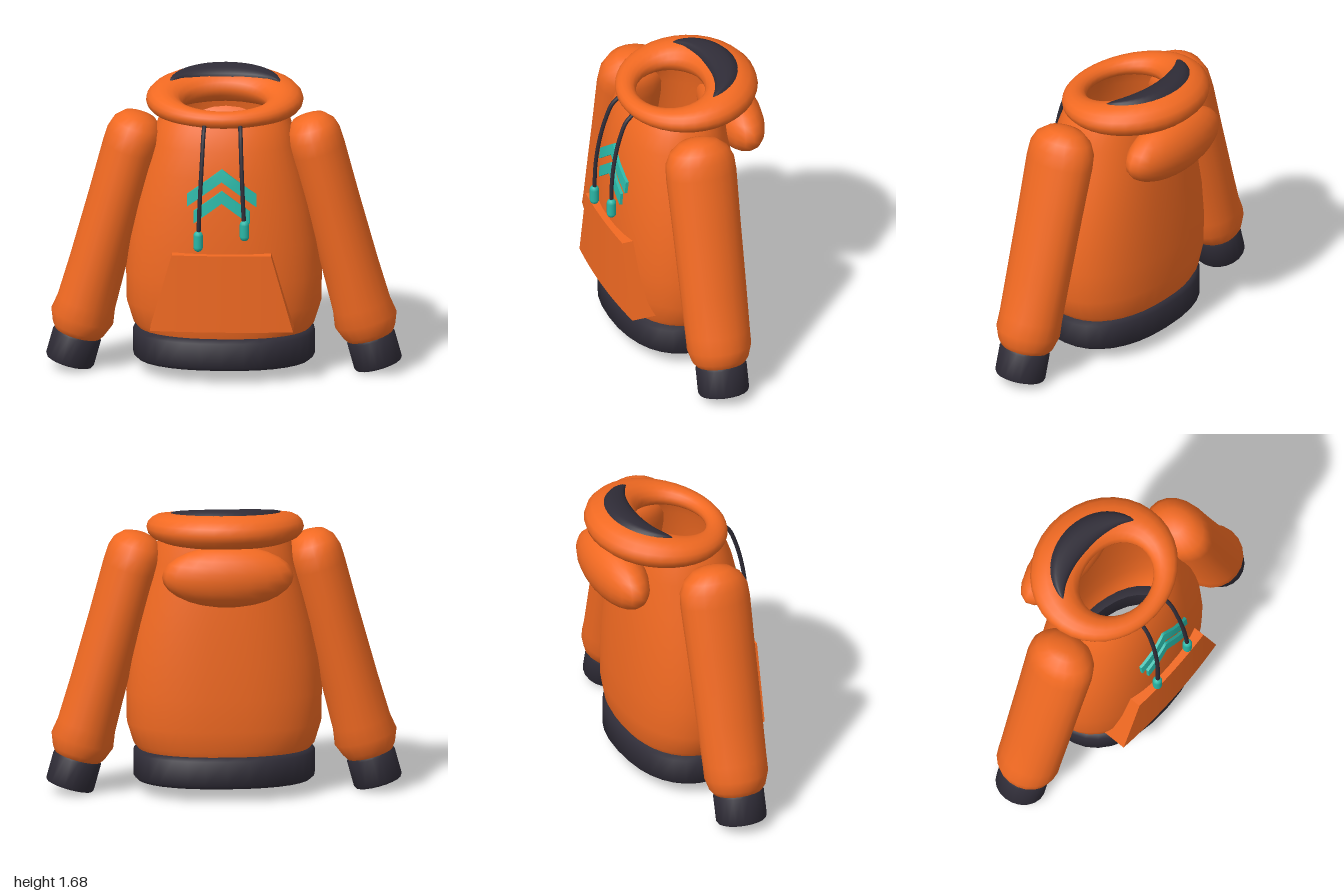
import * as THREE from 'three';
import { mergeVertices, toCreasedNormals } from 'three/addons/utils/BufferGeometryUtils.js';

const fabric = new THREE.MeshStandardMaterial({ color: 0xf26a22, side: THREE.DoubleSide });
const ribbing = new THREE.MeshStandardMaterial({ color: 0x2f2c37, side: THREE.DoubleSide });
const accent = new THREE.MeshStandardMaterial({ color: 0x2ab8a8 });

function mesh(name, geometry, material) {
  const m = new THREE.Mesh(geometry, material);
  m.name = name;
  return m;
}

// Grid surface from a function of integer steps (i across, j along) returning [x, y, z].
function surface(nu, nv, fn, crease) {
  const pos = [], index = [];
  for (let j = 0; j <= nv; j++) for (let i = 0; i <= nu; i++) pos.push(...fn(i, j));
  for (let j = 0; j < nv; j++) {
    for (let i = 0; i < nu; i++) {
      const a = j * (nu + 1) + i, b = a + 1, c = a + nu + 1, d = c + 1;
      index.push(a, b, d, a, d, c);
    }
  }
  let g = new THREE.BufferGeometry();
  g.setAttribute('position', new THREE.Float32BufferAttribute(pos, 3));
  g.setIndex(index);
  g = mergeVertices(g, 1e-5);
  g.computeVertexNormals();
  return crease ? toCreasedNormals(g, crease) : g;
}

// Stack of superelliptic rings, each [y, radiusX, radiusZ, centreZ].
function loft(rings, sides, power = 2, crease = 0) {
  const e = 2 / power, bend = (t) => Math.sign(t) * Math.abs(t) ** e;
  return surface(sides, rings.length - 1, (i, j) => {
    const a = (i / sides) * Math.PI * 2, [y, rx, rz, cz = 0] = rings[j];
    return [rx * bend(Math.sin(a)), y, cz + rz * bend(Math.cos(a))];
  }, crease);
}

const POWER = 2.3;
const torsoRings = [
  [0.24, 0.46, 0.31, 0.055], [0.3, 0.51, 0.333, 0.05], [0.42, 0.547, 0.352, 0.052],
  [0.6, 0.55, 0.356, 0.055], [0.8, 0.533, 0.353, 0.057], [1.0, 0.495, 0.342, 0.057],
  [1.2, 0.445, 0.325, 0.055], [1.35, 0.4, 0.3, 0.05], [1.45, 0.375, 0.275, 0.04],
  [1.52, 0.33, 0.25, 0.03],
];

// Depth of the torso's front at (x, y).
function torsoFront(x, y) {
  let k = 0;
  while (k < torsoRings.length - 2 && torsoRings[k + 1][0] < y) k++;
  const p = torsoRings[k], q = torsoRings[k + 1];
  const t = (y - p[0]) / (q[0] - p[0]);
  const [rx, rz, cz] = [1, 2, 3].map((n) => p[n] + (q[n] - p[n]) * t);
  return cz + rz * Math.max(0, 1 - Math.abs(x / rx) ** POWER) ** (1 / POWER);
}

// Moves each vertex of a box by a rule.
function shapedBox(w, h, d, nx, ny, rule) {
  const g = new THREE.BoxGeometry(w, h, d, nx, ny, 1), p = g.attributes.position;
  for (let i = 0; i < p.count; i++) p.setXYZ(i, ...rule(p.getX(i), p.getY(i), p.getZ(i)));
  g.computeVertexNormals();
  return g;
}

// Point on the rolled hood: a goes round the neck from the front, b round the roll.
function hoodPoint(a, b, lift = 0) {
  const k = (1 - Math.cos(a)) / 2;
  const reach = (0.055 + 0.1 * k + lift) * Math.cos(b);
  return [
    Math.sin(a) * (0.335 + reach),
    1.522 + 0.058 * k + (0.048 + 0.054 * k + lift) * Math.sin(b),
    -0.01 + Math.cos(a) * (0.29 + reach),
  ];
}

function makeSleeve(side) {
  const g = new THREE.Group();
  g.name = side > 0 ? 'leftSleeve' : 'rightSleeve';
  g.add(mesh('arm', loft([
    [0.12, 0, 0], [0.14, 0.1, 0.1], [0.17, 0.132, 0.138], [0.2, 0.152, 0.162], [0.27, 0.18, 0.182],
    [0.36, 0.166, 0.184], [0.6, 0.16, 0.19], [1.0, 0.158, 0.197], [1.3, 0.16, 0.204],
    [1.38, 0.157, 0.198], [1.44, 0.138, 0.168], [1.485, 0.095, 0.11], [1.5, 0.045, 0.05], [1.503, 0, 0],
  ], 20), fabric));
  g.add(mesh('cuff', loft([
    [0.14, 0.1, 0.105], [0.01, 0.105, 0.11], [0, 0.115, 0.12], [0, 0.132, 0.138], [0.012, 0.139, 0.145],
    [0.16, 0.139, 0.145], [0.178, 0.13, 0.135], [0.178, 0.1, 0.105],
  ], 20, 2, 0.7), ribbing));
  g.position.set(side * 0.868, 0.05, 0.06);
  g.rotation.z = side * 0.268;
  return g;
}

function makeDrawstring(side, tipTop) {
  const g = new THREE.Group();
  g.name = side > 0 ? 'leftDrawstring' : 'rightDrawstring';
  const path = new THREE.CatmullRomCurve3([
    [0.1, 1.5, 0.3], [0.104, 1.46, 0.345], [0.109, 1.35, 0.39], [0.116, 1.2, 0.425],
    [0.123, 1.05, 0.442], [0.128, tipTop - 0.02, 0.445],
  ].map(([x, y, z]) => new THREE.Vector3(side * x, y, z)));
  g.add(mesh('cord', new THREE.TubeGeometry(path, 24, 0.012, 8), ribbing));
  const tip = mesh('cordTip', new THREE.CapsuleGeometry(0.027, 0.066, 4, 12), accent);
  tip.position.set(side * 0.13, tipTop - 0.06, 0.445);
  g.add(tip);
  return g;
}

export function createModel() {
  const model = new THREE.Group();
  model.name = 'hoodedSweatshirt';

  // Torso shell and hem band
  model.add(mesh('torso', loft(torsoRings, 40, POWER), fabric));
  model.add(mesh('hemBand', loft([
    [0.27, 0.43, 0.28], [0.11, 0.43, 0.28], [0.09, 0.45, 0.295], [0.09, 0.49, 0.335], [0.11, 0.51, 0.353],
    [0.25, 0.51, 0.353], [0.27, 0.49, 0.335], [0.27, 0.43, 0.28],
  ].map((r) => [...r, 0.056]), 32, POWER, 0.85), ribbing));

  // Sleeves and drawstrings
  for (const side of [1, -1]) model.add(makeSleeve(side));
  model.add(makeDrawstring(1, 0.985), makeDrawstring(-1, 0.92));

  // Rolled hood around the neck
  const TAU = Math.PI * 2;
  model.add(mesh('hoodRoll', surface(36, 16, (i, j) => hoodPoint((i % 36) / 36 * TAU, (j % 16) / 16 * TAU)), fabric));

  // Dark lining along the back of the roll
  model.add(mesh('hoodLining', surface(24, 8, (i, j) => {
    const t = i / 12 - 1, v = j / 4 - 1;
    const width = Math.sqrt(Math.max(0, 1 - t ** 4));
    const lift = 0.022 * (1 - v ** 4) * width - 0.004;
    return hoodPoint(Math.PI + t * 1.27, 1.65 + 0.22 * (1 - t * t) + v * (0.2 + 0.4 * (1 - t * t)) * width, lift);
  }), ribbing));

  // Hood fabric hanging behind the neck
  const bag = mesh('hoodBag', new THREE.SphereGeometry(1, 20, 14), fabric);
  bag.scale.set(0.37, 0.175, 0.148);
  bag.position.set(0, 1.325, -0.325);
  model.add(bag);

  // Front pocket: nearly flat face, back edge following the torso
  model.add(mesh('frontPocket', shapedBox(2, 1, 1, 16, 6, (u, v, w) => {
    const t = v + 0.5, x = u * (0.402 - 0.124 * t), y = 0.33 + 0.445 * t;
    const face = 0.449 - 0.022 * (x / 0.4) ** 2;
    return [x, y, w > 0 ? face : torsoFront(x, y) - 0.01];
  }), fabric));

  // Chest chevrons
  for (const [apex, half] of [[1.262, 0.195], [1.14, 0.158]]) {
    model.add(mesh('chevron', shapedBox(half * 2, 0.07, 0.024, 16, 2, (x, v, w) => {
      const y = apex - 0.035 + v - 0.74 * Math.abs(x);
      return [x, y, torsoFront(x, y) + w + 0.004];
    }), accent));
  }
  return model;
}
